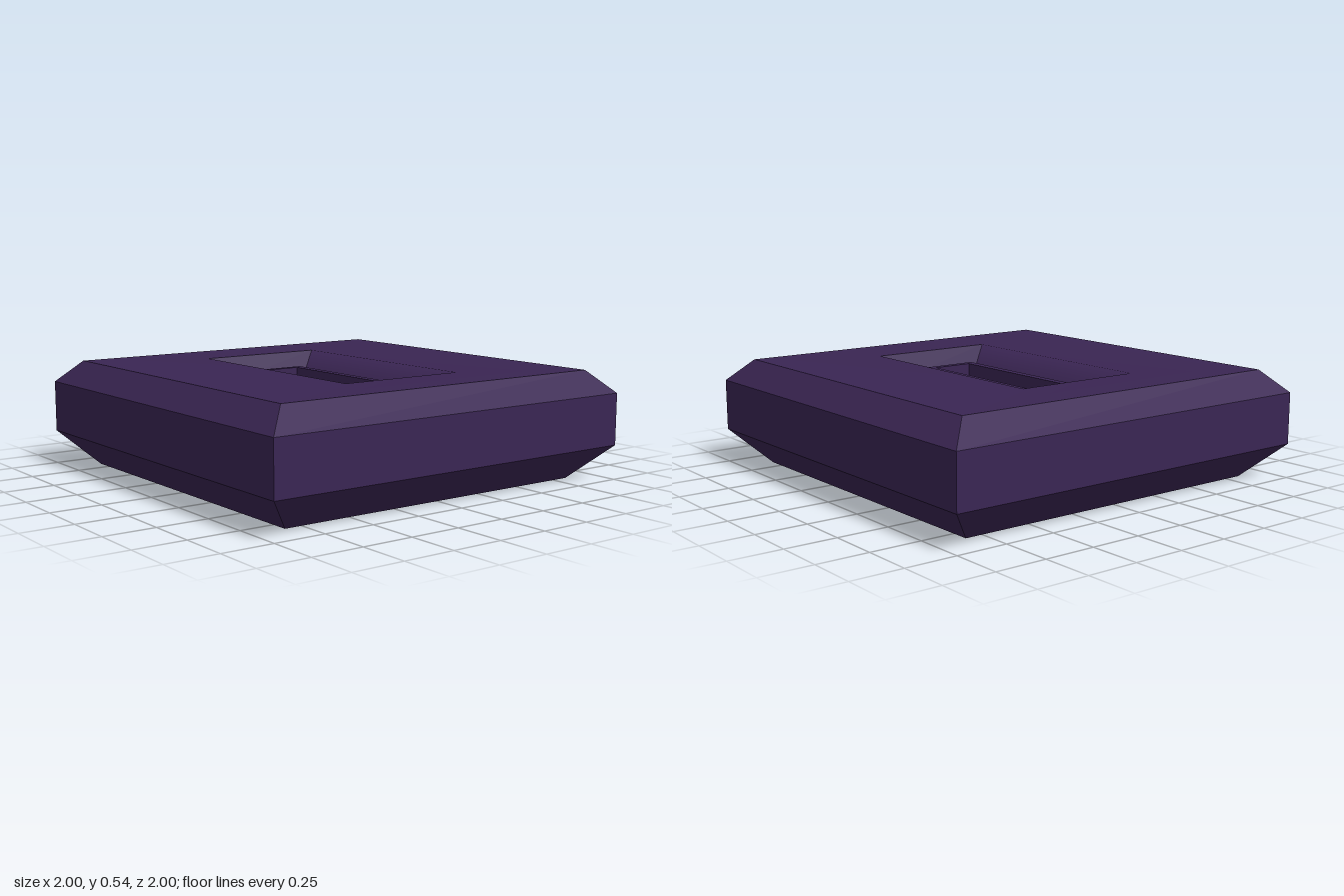
import * as THREE from 'three';

// Corners of a horizontal rectangle, counter-clockwise from above
const corners = ([hx, hz, y]) => [[-hx, y, hz], [hx, y, hz], [hx, y, -hz], [-hx, y, -hz]];

// Loft through rectangles given as [half x, half z, y]; sides: 0 front, 1 left, 2 back, 3 right
function loft(rects, keep = () => true) {
  const index = [];
  for (let r = 0; r < rects.length - 1; r++) {
    for (let i = 0; i < 4; i++) {
      if (!keep(r, i)) continue;
      const a = r * 4 + i, b = r * 4 + (i + 1) % 4;
      index.push(a, b, b + 4, a, b + 4, a + 4);
    }
  }
  const geo = new THREE.BufferGeometry();
  geo.setAttribute('position', new THREE.Float32BufferAttribute(rects.flatMap(corners).flat(), 3));
  geo.setIndex(index);
  return geo;
}

function faceted(geo) {
  const flat = geo.toNonIndexed();
  flat.computeVertexNormals();
  return flat;
}

export function createModel() {
  const group = new THREE.Group();
  const purple = new THREE.MeshStandardMaterial({ color: 0x3a2553 });
  purple.name = 'dark purple';
  const olive = new THREE.MeshStandardMaterial({ color: 0x605844 });
  olive.name = 'olive grey';

  const add = (name, geo, mat) => {
    const mesh = new THREE.Mesh(geo, mat);
    mesh.name = name;
    group.add(mesh);
    return mesh;
  };

  const topEdge = [0.89, 0.89, 0.535];
  const recessTop = [0.585, 0.33, 0.535];
  const recessFloor = [0.535, 0.24, 0.41];

  // Bevelled outer sides
  add('outerSides', faceted(loft([[0.835, 0.835, 0], [1, 1, 0.17], [1, 1, 0.425], topEdge])), purple);

  // Top face blends smoothly into the long recess walls
  const top = loft([topEdge, recessTop, recessFloor], (r, i) => r === 0 || i % 2 === 0);
  top.computeVertexNormals();
  add('topFace', top, purple);

  // Short recess walls stay sharp
  add('recessEnds', faceted(loft([recessTop, recessFloor], (r, i) => i % 2 === 1)), purple);

  // Recess floor, raised bevelled frame and the slot inside it
  add('slotFrame', faceted(loft([
    recessFloor, [0.475, 0.18, 0.41], [0.44, 0.145, 0.475],
    [0.405, 0.105, 0.475], [0.405, 0.105, 0.375],
  ])), purple);

  const slotFloor = add('slotFloor', new THREE.PlaneGeometry(0.81, 0.21), purple);
  slotFloor.rotation.x = -Math.PI / 2;
  slotFloor.position.y = 0.375;

  // Underside
  const base = add('underside', new THREE.PlaneGeometry(1.67, 1.67), olive);
  base.rotation.x = Math.PI / 2;

  return group;
}
